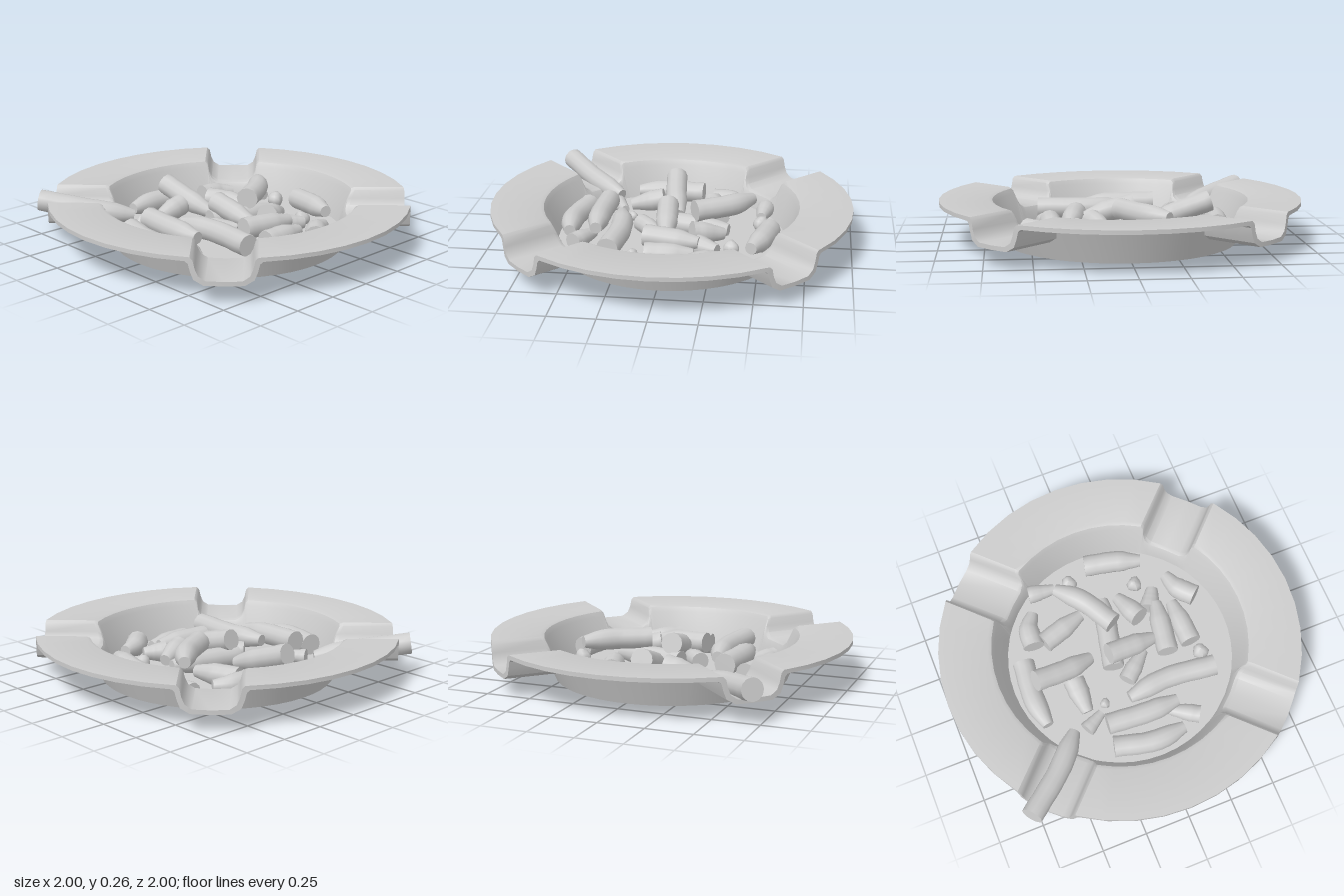
import * as THREE from 'three';
import { toCreasedNormals } from 'three/addons/utils/BufferGeometryUtils.js';

const material = new THREE.MeshStandardMaterial({ color: 0xcccccc });

// Skin closed rows of points; rows may shrink to a single point
function loft(rows, crease) {
  const pos = [];
  const tri = (a, b, c) => {
    if (a.distanceTo(b) < 1e-6 || b.distanceTo(c) < 1e-6 || a.distanceTo(c) < 1e-6) return;
    for (const p of [a, b, c]) pos.push(p.x, p.y, p.z);
  };
  for (let i = 0; i < rows.length - 1; i++) {
    const a = rows[i], b = rows[i + 1], n = a.length;
    for (let j = 0; j < n; j++) {
      const k = (j + 1) % n;
      tri(a[j], a[k], b[j]);
      tri(a[k], b[k], b[j]);
    }
  }
  const geo = new THREE.BufferGeometry();
  geo.setAttribute('position', new THREE.Float32BufferAttribute(pos, 3));
  return toCreasedNormals(geo, crease);
}

function addMesh(parent, name, geo) {
  const mesh = new THREE.Mesh(geo, material);
  mesh.name = name;
  parent.add(mesh);
}

// Half sections of a rest groove: [offset from its axis, height]
const grooveTop = [[0, 0.12], [0.09, 0.122], [0.125, 0.145], [0.14, 0.18], [0.15, 0.225], [0.165, 0.24]];
const grooveUnder = [[0, 0.097], [0.1, 0.098], [0.147, 0.125], [0.163, 0.165], [0.173, 0.205], [0.188, 0.218]];
const RIM_STEPS = 8;

// One ring of the tray; at(h) gives [radius, y] for the local rim height h
function trayRow(section, at) {
  const half = section.slice(1);
  const full = [...half.map(([w, h]) => [-w, h]).reverse(), ...section];
  const edge = section[section.length - 1];
  const row = [];
  const put = (r, y, a) => row.push(new THREE.Vector3(r * Math.cos(a), y, r * Math.sin(a)));
  for (let q = 0; q < 4; q++) {
    const axis = Math.PI / 4 + q * Math.PI / 2;
    for (const [w, h] of full) {
      const [r, y] = at(h);
      put(r, y, axis + (r > 0 ? Math.asin(w / r) : 0));
    }
    const [r, y] = at(edge[1]);
    const start = r > 0 ? Math.asin(edge[0] / r) : 0;
    for (let s = 1; s < RIM_STEPS; s++) {
      put(r, y, axis + start + (Math.PI / 2 - 2 * start) * s / RIM_STEPS);
    }
  }
  return row;
}

function trayGeometry() {
  const inner = h => 0.64 + (h - 0.03) * 0.4;
  const outer = h => 0.65 + h * 0.4;
  const top = at => trayRow(grooveTop, at), under = at => trayRow(grooveUnder, at);
  return loft([
    top(() => [0, 0.03]),
    top(() => [0.635, 0.03]),
    top(h => [inner(h) - 0.03, h - 0.035]),
    top(h => [inner(h) - 0.015, h - 0.008]),
    top(h => [inner(h) + 0.005, h]),
    top(h => [1, h]),
    under(h => [1, h]),
    under(h => [outer(h), h]),
    under(() => [0.65, 0]),
    under(() => [0, 0]),
  ], 0.6);
}

// A bent stub: flat filter end at a, pinched tip at b, bowed sideways by bend
function stubGeometry([x1, y1, z1, x2, y2, z2, bend = 0, r = 0.06]) {
  const a = new THREE.Vector3(x1, y1, z1), b = new THREE.Vector3(x2, y2, z2);
  const side = new THREE.Vector3(z1 - z2, 0, x2 - x1).normalize();
  const mid = a.clone().lerp(b, 0.55).addScaledVector(side, bend);
  const curve = new THREE.CatmullRomCurve3([a, mid, b]);
  const n = 10, sides = 12, rows = [];
  const frames = curve.computeFrenetFrames(n);
  const length = curve.getLength();
  const ring = (i, radius) => {
    const p = curve.getPointAt(i / n);
    return Array.from({ length: sides }, (_, j) => {
      const t = j / sides * Math.PI * 2;
      return p.clone()
        .addScaledVector(frames.normals[i], Math.cos(t) * radius)
        .addScaledVector(frames.binormals[i], Math.sin(t) * radius);
    });
  };
  rows.push(ring(0, 0));
  for (let i = 0; i <= n; i++) {
    const left = (1 - i / n) * length;
    rows.push(ring(i, r * Math.min(1, 0.55 + left * 4) * (1 + 0.02 * Math.sin(i * 2.3 + x1 * 9))));
  }
  rows.push(ring(n, 0));
  return loft(rows, 0.8);
}

// A crumb of ash: a ball with a lumpy surface
function crumbGeometry(r, seed) {
  const geo = new THREE.SphereGeometry(r, 10, 7);
  const p = geo.attributes.position, v = new THREE.Vector3();
  for (let i = 0; i < p.count; i++) {
    v.fromBufferAttribute(p, i);
    v.multiplyScalar(1 + 0.18 * Math.sin(v.x / r * 3 + seed) * Math.cos(v.z / r * 2.5 + seed));
    p.setXYZ(i, v.x, v.y, v.z);
  }
  geo.computeVertexNormals();
  return geo;
}

export function createModel() {
  const model = new THREE.Group();
  model.name = 'ashtray';
  addMesh(model, 'tray', trayGeometry());

  // filter end xyz, tip xyz, bend, radius
  const stubs = [
    [-0.72, 0.185, -0.79, -0.35, 0.10, -0.41, 0.02],
    [0.13, 0.09, -0.53, -0.26, 0.09, -0.53, 0.02],
    [-0.03, 0.20, -0.51, 0.02, 0.09, -0.17, 0.01],
    [-0.08, 0.13, -0.31, -0.27, 0.09, -0.30],
    [0.20, 0.09, -0.44, 0.39, 0.09, -0.38, -0.025],
    [0.20, 0.09, -0.38, 0.28, 0.09, -0.13],
    [0.13, 0.19, 0.01, 0.44, 0.19, -0.22, 0.025],
    [0.51, 0.08, -0.36, 0.49, 0.08, -0.21, 0, 0.05],
    [0.55, 0.10, 0.00, 0.46, 0.11, 0.31, -0.01],
    [-0.03, 0.19, -0.08, -0.01, 0.12, 0.20],
    [-0.08, 0.09, -0.07, 0.32, 0.09, 0.02],
    [-0.18, 0.09, -0.03, -0.05, 0.09, 0.12, 0, 0.05],
    [0.13, 0.13, 0.17, 0.30, 0.10, 0.10],
    [-0.12, 0.13, 0.24, 0.18, 0.12, 0.29],
    [-0.10, 0.09, 0.39, 0.16, 0.09, 0.38],
    [0.15, 0.09, 0.52, 0.33, 0.09, 0.41, -0.02],
    [0.17, 0.09, 0.25, 0.28, 0.09, 0.31],
    [-0.29, 0.13, 0.45, -0.29, 0.13, -0.06, 0.03],
    [-0.39, 0.14, -0.23, -0.40, 0.13, 0.18, 0.01],
    [-0.51, 0.10, -0.24, -0.55, 0.10, 0.16, 0.03],
    [-0.51, 0.08, 0.27, -0.42, 0.08, 0.12, 0, 0.05],
    [-0.36, 0.08, -0.34, -0.30, 0.08, -0.23, 0, 0.045],
  ];
  const pile = new THREE.Group();
  pile.name = 'stubs';
  stubs.forEach((s, i) => addMesh(pile, `stub${i + 1}`, stubGeometry(s)));
  model.add(pile);

  // x, z, radius
  const crumbs = [[0.49, -0.12, 0.045], [0.35, 0.23, 0.042], [-0.17, 0.42, 0.045], [-0.25, -0.19, 0.028]];
  const ash = new THREE.Group();
  ash.name = 'ashCrumbs';
  crumbs.forEach(([x, z, r], i) => {
    addMesh(ash, `crumb${i + 1}`, crumbGeometry(r, i * 1.7));
    ash.children[i].position.set(x, 0.03 + r, z);
  });
  model.add(ash);
  return model;
}
